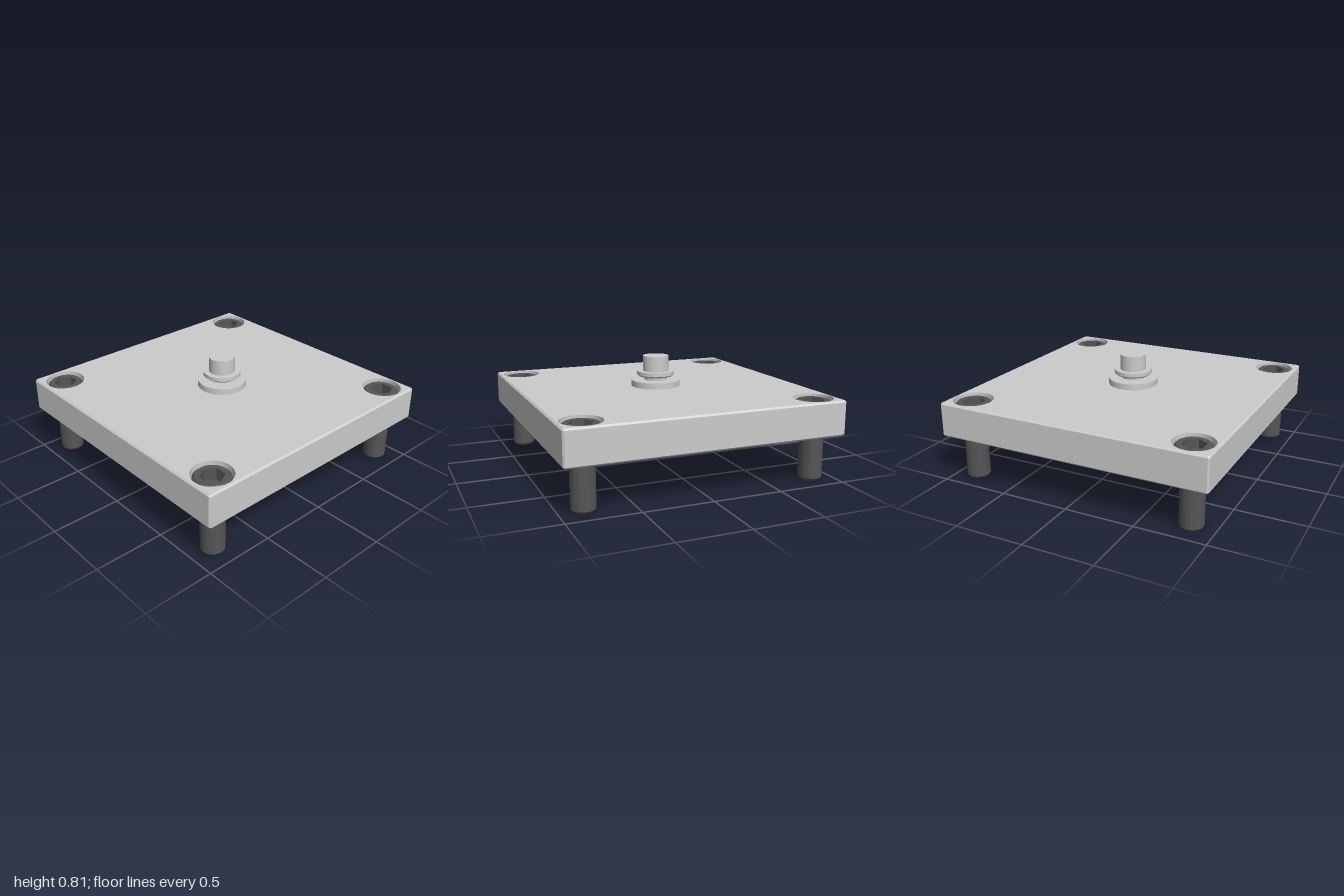
import * as THREE from 'three';
import { toCreasedNormals } from 'three/addons/utils/BufferGeometryUtils.js';

const Y0 = 0.335, Y1 = 0.585;         // plate bottom and top
const CH = 0.012;                     // plate edge chamfer
const HOLE = 0.835;                   // screw offset from centre
const BORE_R = 0.14, CLEAR_R = 0.088; // counterbore and clearance hole
const SEAT = 0.405, HEAD_TOP = 0.572; // screw head underside and top
const HEX_R = 0.083;

const lightMat = new THREE.MeshStandardMaterial({ color: 0xcccccc });
const darkMat = new THREE.MeshStandardMaterial({ color: 0x555557 });
const corners = [[1, 1], [1, -1], [-1, 1], [-1, -1]];

function addMesh(parent, name, geometry, material) {
  const mesh = new THREE.Mesh(geometry, material);
  mesh.name = name;
  parent.add(mesh);
  return mesh;
}

// Turned part from [radius, y] pairs, with crisp edges
function turned(profile) {
  const points = profile.map(([r, y]) => new THREE.Vector2(r, y));
  return toCreasedNormals(new THREE.LatheGeometry(points, 48), 0.4);
}

// Square plate face pierced by four round holes
function plateFace(radius) {
  const s = 1 - CH;
  const shape = new THREE.Shape([[-s, -s], [s, -s], [s, s], [-s, s]].map(p => new THREE.Vector2(...p)));
  for (const [x, y] of corners) {
    shape.holes.push(new THREE.Path().absarc(x * HOLE, y * HOLE, radius, 0, Math.PI * 2, true));
  }
  return new THREE.ShapeGeometry(shape, 24);
}

// Plate rim lofted through four rings, chamfered on every edge
function plateRim() {
  const s = 1 - CH;
  const ring = (y, w) => [[w, s], [w, -s], [s, -w], [-s, -w], [-w, -s], [-w, s], [-s, w], [s, w]]
    .map(([x, z]) => [x, y, z]);
  const rings = [ring(Y0, s), ring(Y0 + CH, 1), ring(Y1 - CH, 1), ring(Y1, s)];
  const positions = [];
  for (let k = 0; k < 3; k++) {
    for (let i = 0; i < 8; i++) {
      const j = (i + 1) % 8;
      const [a, b, c, d] = [rings[k][i], rings[k][j], rings[k + 1][j], rings[k + 1][i]];
      positions.push(...a, ...b, ...c, ...a, ...c, ...d);
    }
  }
  const geometry = new THREE.BufferGeometry();
  geometry.setAttribute('position', new THREE.Float32BufferAttribute(positions, 3));
  geometry.computeVertexNormals();
  return geometry;
}

function createPlate() {
  const plate = new THREE.Group();
  plate.name = 'plate';
  addMesh(plate, 'plateRim', plateRim(), lightMat);
  addMesh(plate, 'plateTop', plateFace(BORE_R).rotateX(-Math.PI / 2), lightMat).position.y = Y1;
  addMesh(plate, 'plateBottom', plateFace(CLEAR_R).rotateX(Math.PI / 2), lightMat).position.y = Y0;

  // Stepped holes
  const bore = turned([[BORE_R, Y1], [BORE_R, SEAT], [CLEAR_R, SEAT], [CLEAR_R, Y0]]);
  for (const [x, z] of corners) {
    addMesh(plate, 'counterbore', bore, lightMat).position.set(x * HOLE, 0, z * HOLE);
  }
  return plate;
}

function createScrew() {
  const screw = new THREE.Group();
  screw.name = 'socketScrew';
  const rimR = 0.112, depth = 0.085;

  // Shank and head
  addMesh(screw, 'screwBody', turned([
    [0, 0], [0.063, 0], [0.083, 0.022], [0.083, SEAT], [0.125, SEAT],
    [0.125, HEAD_TOP - 0.013], [rimR, HEAD_TOP],
  ]), darkMat);

  // Head face around the hex socket
  const face = new THREE.Shape().absarc(0, 0, rimR, 0, Math.PI * 2);
  const hex = [];
  for (let i = 0; i < 6; i++) {
    const a = Math.PI / 2 - i * Math.PI / 3;
    hex.push(new THREE.Vector2(Math.cos(a) * HEX_R, Math.sin(a) * HEX_R));
  }
  face.holes.push(new THREE.Path(hex));
  addMesh(screw, 'headFace', new THREE.ShapeGeometry(face, 24).rotateX(-Math.PI / 2), darkMat)
    .position.y = HEAD_TOP;

  // Socket walls face inward; the floor faces up
  const walls = new THREE.CylinderGeometry(HEX_R, HEX_R, depth, 6, 1, true);
  walls.scale(-1, 1, 1);
  const socket = toCreasedNormals(walls, 0.4);
  const wallMat = darkMat.clone();
  wallMat.side = THREE.DoubleSide;
  addMesh(screw, 'socketWalls', socket, wallMat).position.y = HEAD_TOP - depth / 2;
  const floor = new THREE.CircleGeometry(HEX_R, 6, Math.PI / 2).rotateX(-Math.PI / 2);
  addMesh(screw, 'socketFloor', floor, darkMat).position.y = HEAD_TOP - depth;
  return screw;
}

export function createModel() {
  const model = new THREE.Group();
  model.name = 'mountingPlate';
  model.add(createPlate());

  // Corner screws
  for (const [x, z] of corners) {
    const screw = createScrew();
    screw.position.set(x * HOLE, 0, z * HOLE);
    model.add(screw);
  }

  // Central stud: base disc, neck, chamfered collar and pin
  addMesh(model, 'centreStud', turned([
    [0.18, Y1], [0.18, 0.63], [0.083, 0.63], [0.083, 0.658], [0.125, 0.658],
    [0.138, 0.669], [0.138, 0.697], [0.095, 0.697], [0.095, 0.81], [0, 0.81],
  ]), lightMat);
  return model;
}
